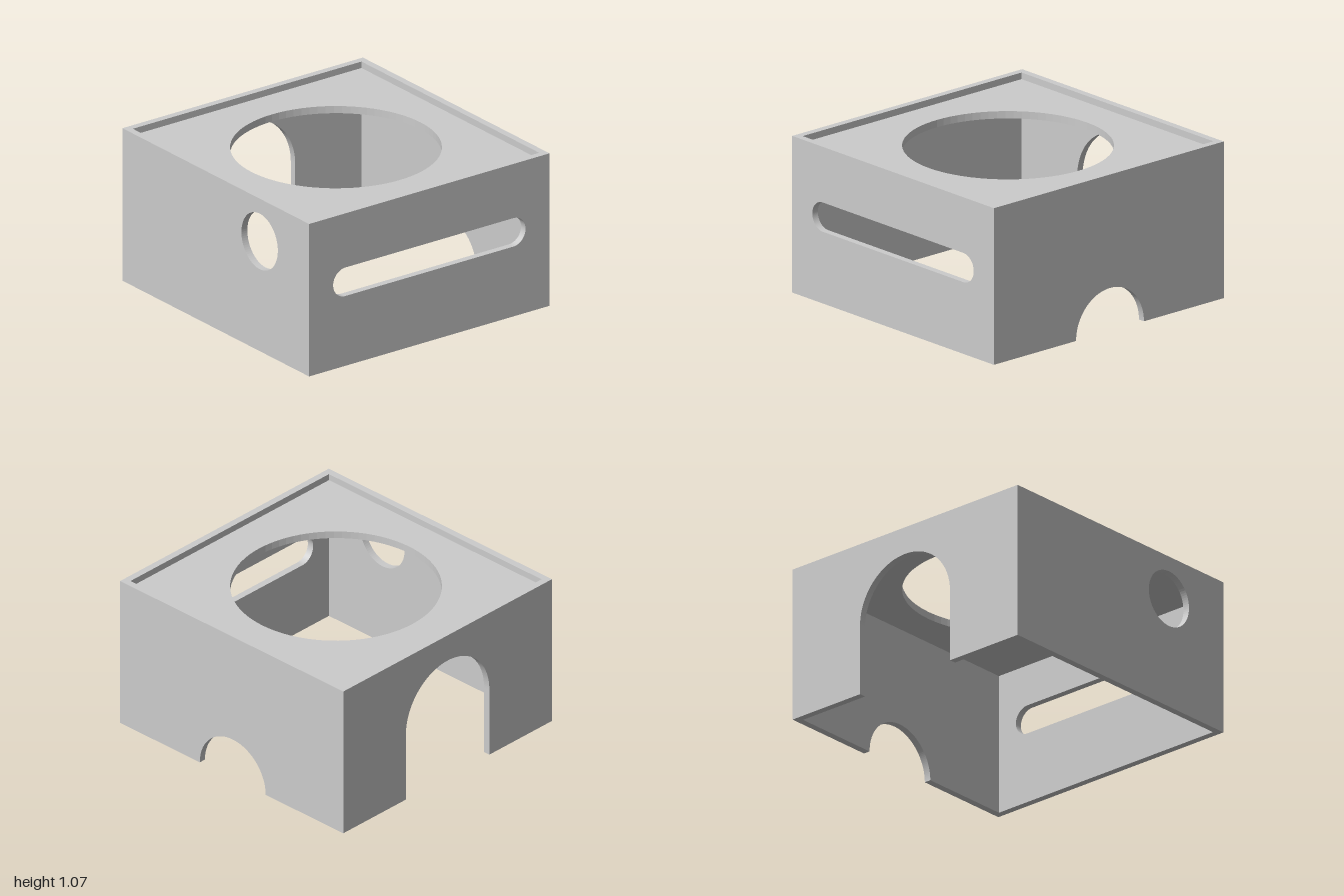
import * as THREE from 'three';

const W = 0.975;  // half width
const D = 1;      // half depth
const H = 1.07;   // height
const T = 0.048;  // wall thickness

const material = new THREE.MeshStandardMaterial({ color: 0xcccccc });

// Upright rectangle, optionally with an arched opening cut from its bottom edge
function wallShape(half, arch) {
  const s = new THREE.Shape();
  s.moveTo(-half, 0);
  if (arch) {
    s.lineTo(arch.x - arch.r, 0);
    if (arch.spring > 0) s.lineTo(arch.x - arch.r, arch.spring);
    s.absarc(arch.x, arch.spring, arch.r, Math.PI, 0, true);
    if (arch.spring > 0) s.lineTo(arch.x + arch.r, 0);
  }
  s.lineTo(half, 0);
  s.lineTo(half, H);
  s.lineTo(-half, H);
  s.closePath();
  return s;
}

function circle(x, y, r) {
  return new THREE.Path().absarc(x, y, r, 0, Math.PI * 2, true);
}

function panel(name, shape, depth) {
  const geometry = new THREE.ExtrudeGeometry(shape, { depth, bevelEnabled: false, curveSegments: 40 });
  const mesh = new THREE.Mesh(geometry, material);
  mesh.name = name;
  return mesh;
}

export function createModel() {
  const group = new THREE.Group();
  group.name = 'openBottomHousing';

  // Front wall with a wide rounded slot
  const frontShape = wallShape(W);
  const slot = new THREE.Path();
  slot.absarc(0.68, 0.59, 0.1, -Math.PI / 2, Math.PI / 2, false);
  slot.absarc(-0.68, 0.59, 0.1, Math.PI / 2, Math.PI * 1.5, false);
  slot.closePath();
  frontShape.holes.push(slot);
  const front = panel('frontWall', frontShape, T);
  front.position.z = D - T;

  // Back wall with a tall arched doorway
  const back = panel('backWall', wallShape(W, { x: 0, spring: 0.49, r: 0.39 }), T);
  back.position.z = -D;

  // Left wall with a half-round notch at the base
  const left = panel('leftWall', wallShape(D - T, { x: -0.01, spring: 0, r: 0.295 }), T);
  left.rotation.y = -Math.PI / 2;
  left.position.x = W;

  // Right wall with a round port near the front
  const rightShape = wallShape(D - T);
  rightShape.holes.push(circle(0.47, 0.77, 0.195));
  const right = panel('rightWall', rightShape, T);
  right.rotation.y = -Math.PI / 2;
  right.position.x = -W + T;

  // Top plate, recessed below the rim, with a large round opening
  const a = W - T, b = D - T;
  const topShape = new THREE.Shape([
    new THREE.Vector2(-a, -b), new THREE.Vector2(a, -b),
    new THREE.Vector2(a, b), new THREE.Vector2(-a, b),
  ]);
  topShape.holes.push(circle(0, 0, 0.685));
  const top = panel('topPlate', topShape, 0.05);
  top.rotation.x = -Math.PI / 2;
  top.position.y = 0.975;

  group.add(front, back, left, right, top);
  return group;
}
